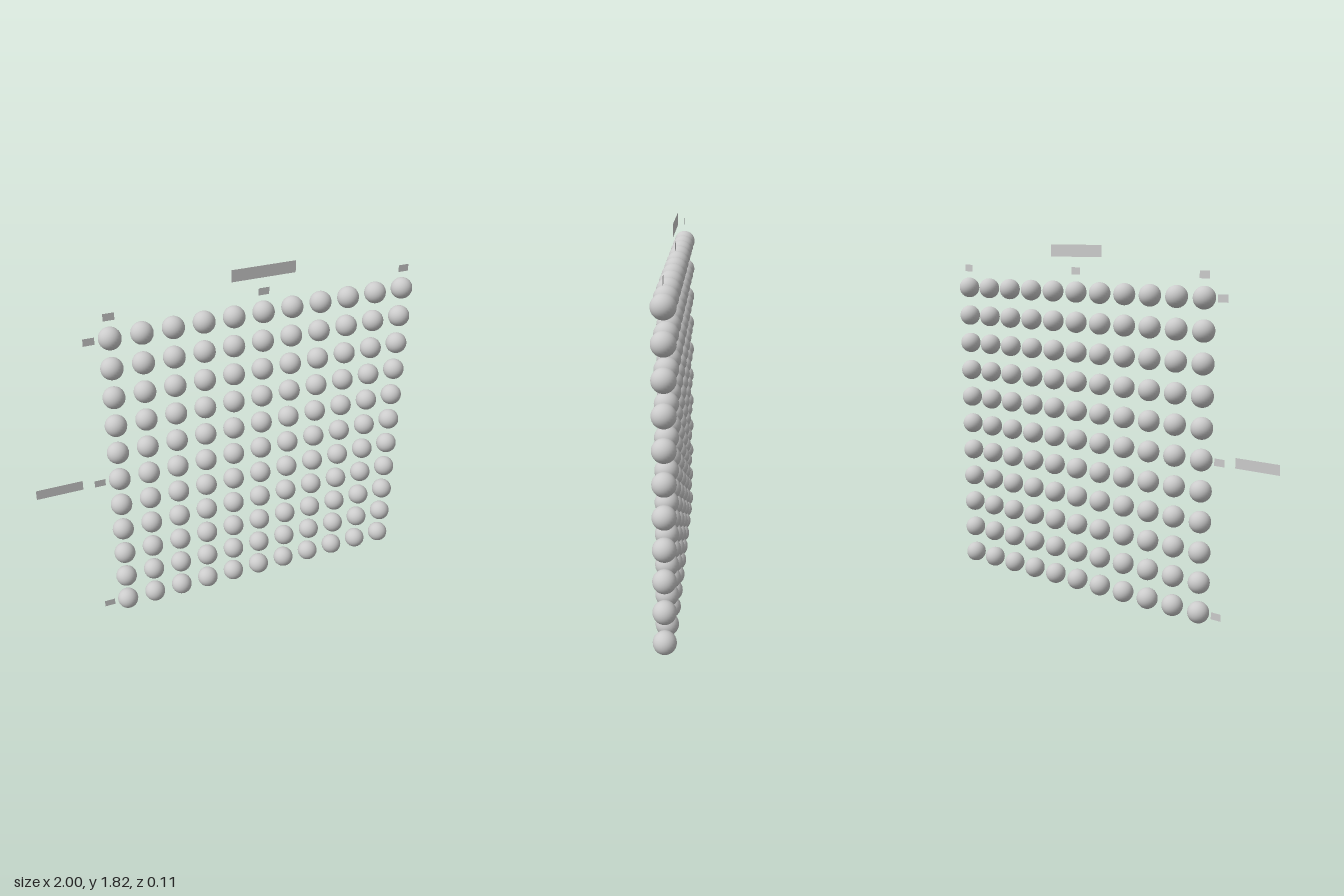
import * as THREE from 'three';

const COUNT = 11;
const STEP = 0.153;
const RADIUS = 0.054;
const X0 = 1 - RADIUS - STEP * (COUNT - 1);
const Y0 = RADIUS;

export function createModel() {
  const model = new THREE.Group();
  const grey = new THREE.MeshStandardMaterial({ color: 0xcccccc });
  const thin = new THREE.MeshStandardMaterial({ color: 0xcccccc, side: THREE.DoubleSide });

  // Grid of smooth balls, grouped in rows from the bottom up
  const ball = new THREE.SphereGeometry(RADIUS, 28, 16);
  for (let r = 0; r < COUNT; r++) {
    const row = new THREE.Group();
    row.name = 'ballRow' + (r + 1);
    row.position.y = Y0 + r * STEP;
    for (let c = 0; c < COUNT; c++) {
      const mesh = new THREE.Mesh(ball, grey);
      mesh.name = 'ball';
      mesh.position.x = X0 + c * STEP;
      row.add(mesh);
    }
    model.add(row);
  }

  // Thin blank label plates along the top and the side
  const plate = (name, w, h, x, y) => {
    const mesh = new THREE.Mesh(new THREE.PlaneGeometry(w, h), thin);
    mesh.name = name;
    mesh.position.set(x, y, 0);
    model.add(mesh);
  };
  plate('topTitlePlate', 0.33, 0.06, 0.18, 1.79);
  plate('sideTitlePlate', 0.23, 0.05, -0.885, 0.83);
  for (const i of [0, 5, 10]) {
    plate('topTickPlate', 0.055, 0.036, X0 + i * STEP, 1.69);
    plate('sideTickPlate', 0.055, 0.036, X0 - 0.1, Y0 + i * STEP);
  }
  return model;
}
